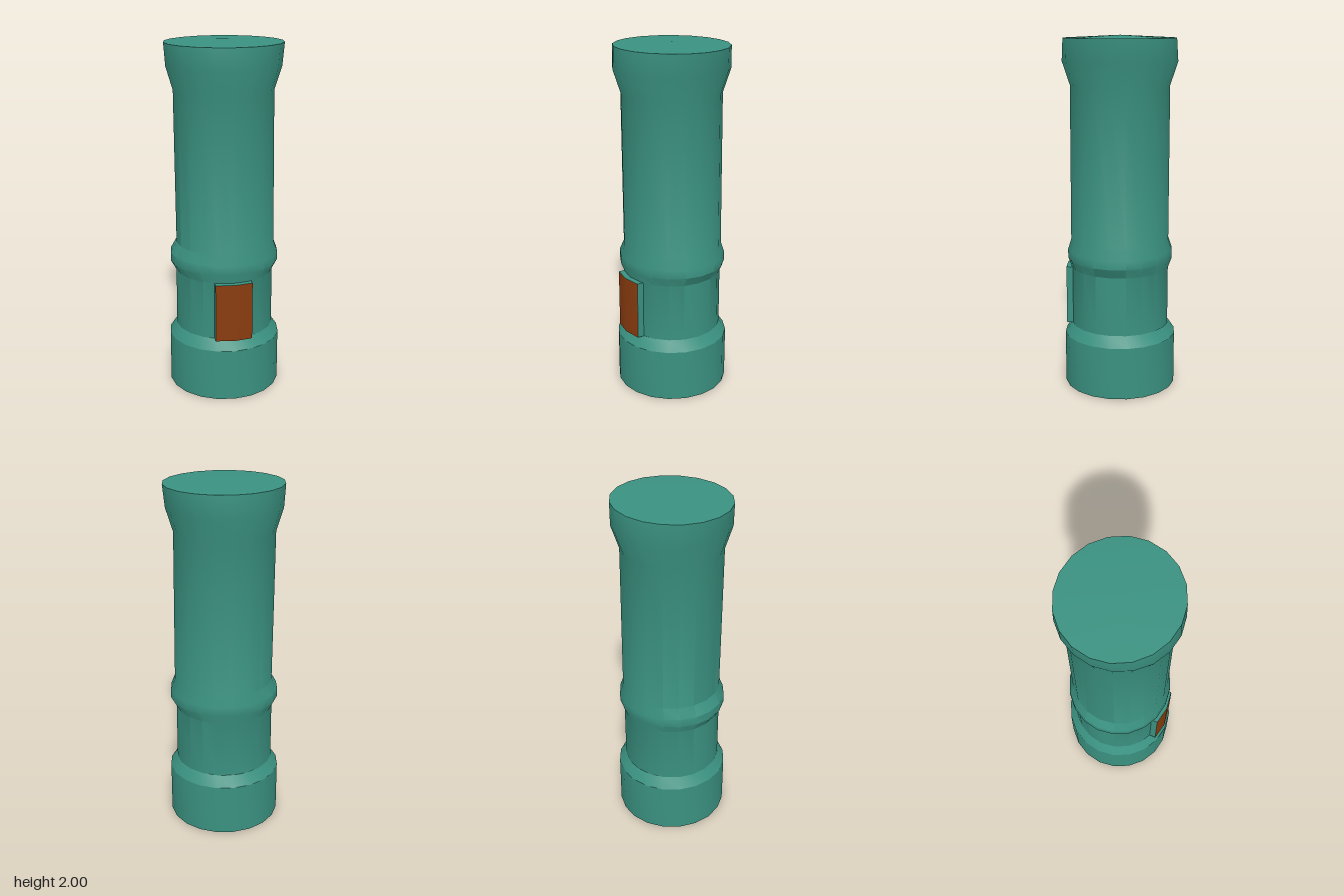
import * as THREE from 'three';
import { toCreasedNormals } from 'three/addons/utils/BufferGeometryUtils.js';

// Rings from bottom to top: [height, x radius, z radius, x offset]
const RINGS = [
  [0, 0, 0, 0],
  [0, 0.32, 0.32, 0],
  [0.3, 0.32, 0.32, 0],
  [0.36, 0.28, 0.279, 0],
  [0.695, 0.279, 0.279, 0],
  [0.75, 0.31, 0.299, 0],
  [0.8, 0.31, 0.299, 0],
  [0.86, 0.281, 0.28, 0.005],
  [1.73, 0.279, 0.279, -0.003],
  [1.86, 0.318, 0.322, -0.002],
  [1.985, 0.329, 0.314, 0],
  [2, 0, 0, 0],
];

function bodyGeometry() {
  const profile = RINGS.map(([y, rx]) => new THREE.Vector2(rx, y));
  const geometry = new THREE.LatheGeometry(profile, 20);
  const position = geometry.attributes.position;
  // Make each ring slightly oval and shift it sideways
  for (let i = 0; i < position.count; i++) {
    const [, rx, rz, offset] = RINGS[i % RINGS.length];
    position.setX(i, position.getX(i) + offset);
    if (rx > 0) position.setZ(i, position.getZ(i) * rz / rx);
  }
  return toCreasedNormals(geometry, 0.5);
}

export function createModel() {
  const teal = new THREE.MeshStandardMaterial({ color: 0x3a9180 });
  teal.name = 'teal';
  const rust = new THREE.MeshStandardMaterial({ color: 0x8a3c0f });
  rust.name = 'rust';

  const model = new THREE.Group();
  model.name = 'barrel';
  const add = (name, geometry, material) => {
    const mesh = new THREE.Mesh(geometry, material);
    mesh.name = name;
    model.add(mesh);
    return mesh;
  };

  // Collared tube with wide base and flared head
  add('body', bodyGeometry(), teal);

  // Raised pad on the front of the lower tube, with a shallow bent face
  const bottom = 0.36, height = 0.335;
  const halfWidth = 0.104, edgeZ = 0.294, middleZ = 0.312;
  const outline = new THREE.Shape([
    new THREE.Vector2(-halfWidth, -0.25),
    new THREE.Vector2(halfWidth, -0.25),
    new THREE.Vector2(halfWidth, -edgeZ),
    new THREE.Vector2(0, -middleZ + 0.001),
    new THREE.Vector2(-halfWidth, -edgeZ),
  ]);
  const padGeometry = new THREE.ExtrudeGeometry(outline, { depth: height, bevelEnabled: false });
  padGeometry.rotateX(-Math.PI / 2);
  add('pad', padGeometry, teal).position.y = bottom;

  // Coloured face of the pad
  const angle = Math.atan2(halfWidth, edgeZ);
  const faceGeometry = new THREE.CylinderGeometry(
    middleZ + 0.001, middleZ + 0.001, height, 2, 1, true, -angle, angle * 2);
  add('padFace', faceGeometry, rust).position.y = bottom + height / 2;

  return model;
}
